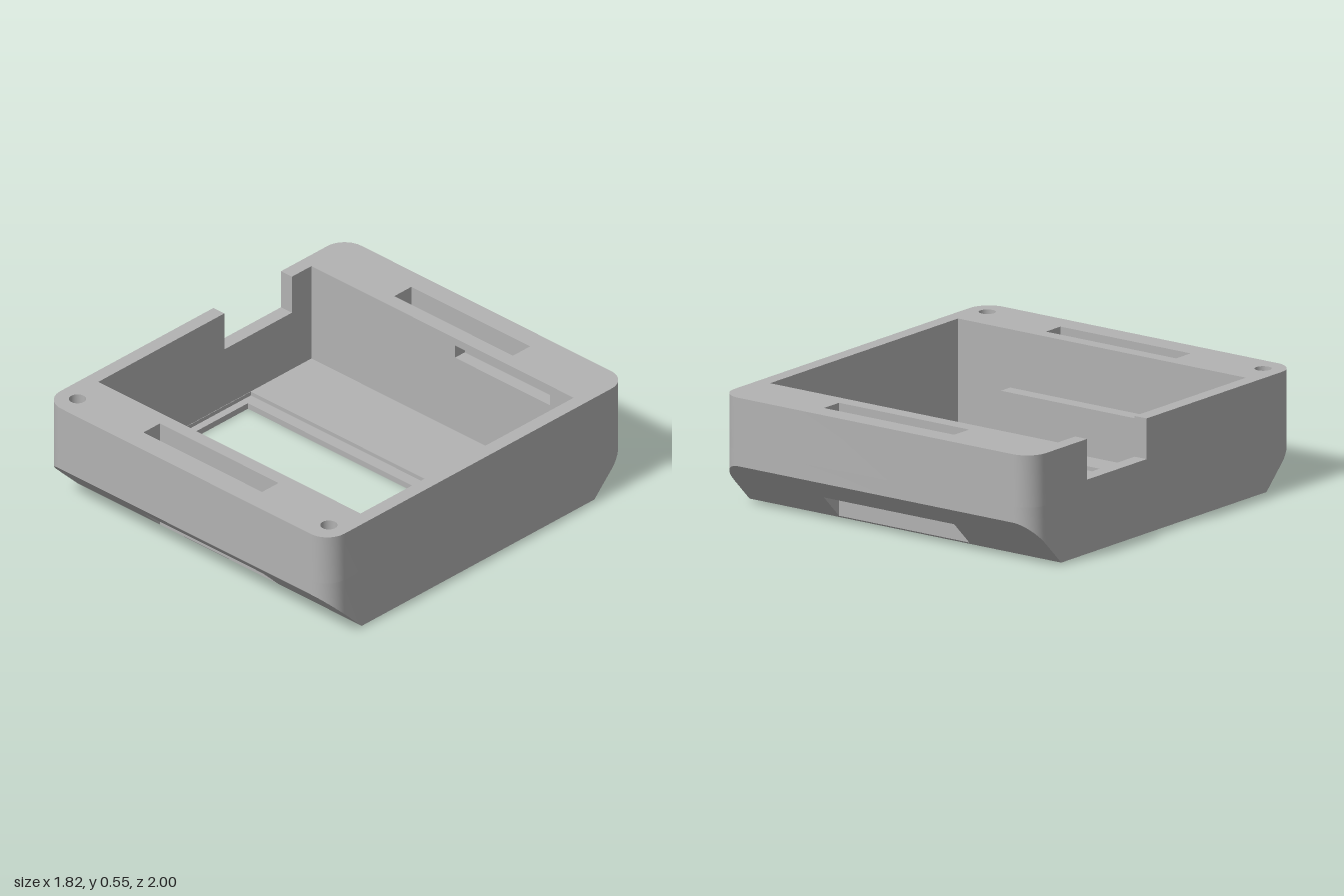
import * as THREE from 'three';
import { toCreasedNormals } from 'three/addons/utils/BufferGeometryUtils.js';

const W = 0.91, TOP = 0.55, INX = 0.84, INZ = 0.71, BREAK = 0.775;
const FLOOR = 0.05, LEDGE = 0.03, CHAMFER = 0.222, RADIUS = 0.11, SCREW_BOTTOM = 0.3;

const rect = (x0, x1, y0, y1) => [[x0, y0], [x1, y0], [x1, y1], [x0, y1]];

function circle(cx, cy, r, n = 24) {
  return Array.from({ length: n }, (_, i) => {
    const a = (i / n) * Math.PI * 2;
    return [cx + r * Math.cos(a), cy + r * Math.sin(a)];
  });
}

function extrude(outline, holes, depth) {
  const toVec = (pts) => pts.map(([x, y]) => new THREE.Vector2(x, y));
  const shape = new THREE.Shape(toVec(outline));
  shape.holes = holes.map((h) => new THREE.Path(toVec(h)));
  return new THREE.ExtrudeGeometry(shape, { depth, bevelEnabled: false });
}

// Horizontal slab: outline given in x and z, between two heights
function slab(outline, holes, y0, y1) {
  return extrude(outline, holes, y1 - y0).rotateX(Math.PI / 2).translate(0, y1, 0);
}

// End outline with two rounded outer corners; s is +1 for front, -1 for back
function endOutline(s) {
  const pts = [[-W, s * BREAK]];
  for (const side of [-1, 1]) {
    for (let i = 0; i <= 10; i++) {
      const t = (side < 0 ? i : 10 - i) / 10 * Math.PI / 2;
      pts.push([side * (W - RADIUS + RADIUS * Math.cos(t)), s * (1 - RADIUS + RADIUS * Math.sin(t))]);
    }
  }
  pts.push([W, s * BREAK]);
  return pts;
}

export function createModel() {
  const group = new THREE.Group();
  const grey = new THREE.MeshStandardMaterial({ color: 0xb2b2b2 });
  grey.name = 'grey plastic';

  const add = (name, geometry) => {
    const mesh = new THREE.Mesh(toCreasedNormals(geometry, 0.4), grey);
    mesh.name = name;
    group.add(mesh);
  };
  const box = (name, x0, x1, y0, y1, z0, z1) =>
    add(name, new THREE.BoxGeometry(x1 - x0, y1 - y0, z1 - z0)
      .translate((x0 + x1) / 2, (y0 + y1) / 2, (z0 + z1) / 2));

  // End blocks with strap slots, sloping undersides and blind screw holes in front
  for (const s of [1, -1]) {
    const label = s > 0 ? 'front' : 'back';
    const slot = s > 0 ? rect(-0.38, 0.38, 0.778, 0.888) : rect(-0.38, 0.38, -0.898, -0.784);
    const screws = s > 0 ? [-1, 1].map((k) => circle(k * 0.805, 0.885, 0.04)) : [];
    add(label + 'EndTop', slab(endOutline(s), [slot, ...screws], SCREW_BOTTOM, TOP));

    const lower = slab(endOutline(s), [slot], 0, SCREW_BOTTOM);
    const p = lower.attributes.position;
    for (let i = 0; i < p.count; i++) {
      if (p.getY(i) < 0.01) p.setY(i, (Math.abs(p.getZ(i)) - BREAK) * CHAMFER / (1 - BREAK));
    }
    add(label + 'EndSlope', lower);
  }

  // Inner end walls; the back one has a shallow pocket
  box('frontInnerWall', -INX, INX, 0, TOP, INZ, BREAK);
  add('backInnerWall', extrude(rect(-INX, INX, 0, TOP), [rect(0.08, 0.69, 0.445, 0.51)], BREAK - INZ)
    .translate(0, 0, -BREAK));

  // Side walls; the one at -x has a cable notch
  box('leftWall', INX, W, 0, TOP, -BREAK, BREAK);
  const notched = [[-BREAK, 0], [BREAK, 0], [BREAK, TOP], [-0.13, TOP], [-0.13, 0.355],
    [-0.58, 0.355], [-0.58, TOP], [-BREAK, TOP]];
  add('rightNotchedWall', extrude(notched, [], W - INX).rotateY(-Math.PI / 2).translate(-INX, 0, 0));

  // Floor: lower layer with window, upper layer with a wider screen recess
  const buttons = [-0.312, 0.05, 0.414], half = 0.112, edge = INX - 0.002, bx = 0.455;
  const port = rect(0.575, 0.76, -0.585, -0.49);
  const floorOutline = rect(-INX, INX, -INZ, INZ);
  add('floorLower', slab(floorOutline, [
    rect(-0.8, 0.4, -0.245, 0.427), port,
    ...buttons.map((z) => rect(bx, edge, z - half, z + half)),
  ], 0, LEDGE));

  const recess = [[-edge, 0.48], [-edge, -0.305], [bx, -0.305]];
  recess.length = 3;
  for (const z of buttons) {
    recess.push([bx, z - half], [edge, z - half], [edge, z + half], [bx, z + half]);
  }
  recess.push([bx, 0.48]);
  add('floorUpper', slab(floorOutline, [recess, port], LEDGE, FLOOR));

  // Flexible button tongues with posts
  for (const z of buttons) {
    box('buttonTongue', 0.48, INX, 0, LEDGE, z - 0.088, z + 0.088);
    add('buttonPost', new THREE.CylinderGeometry(0.053, 0.053, 0.06, 24).translate(0.67, LEDGE + 0.03, z));
  }

  // Upright support rib
  box('supportRib', -0.81, 0.515, FLOOR, 0.28, 0.613, 0.683);

  return group;
}
